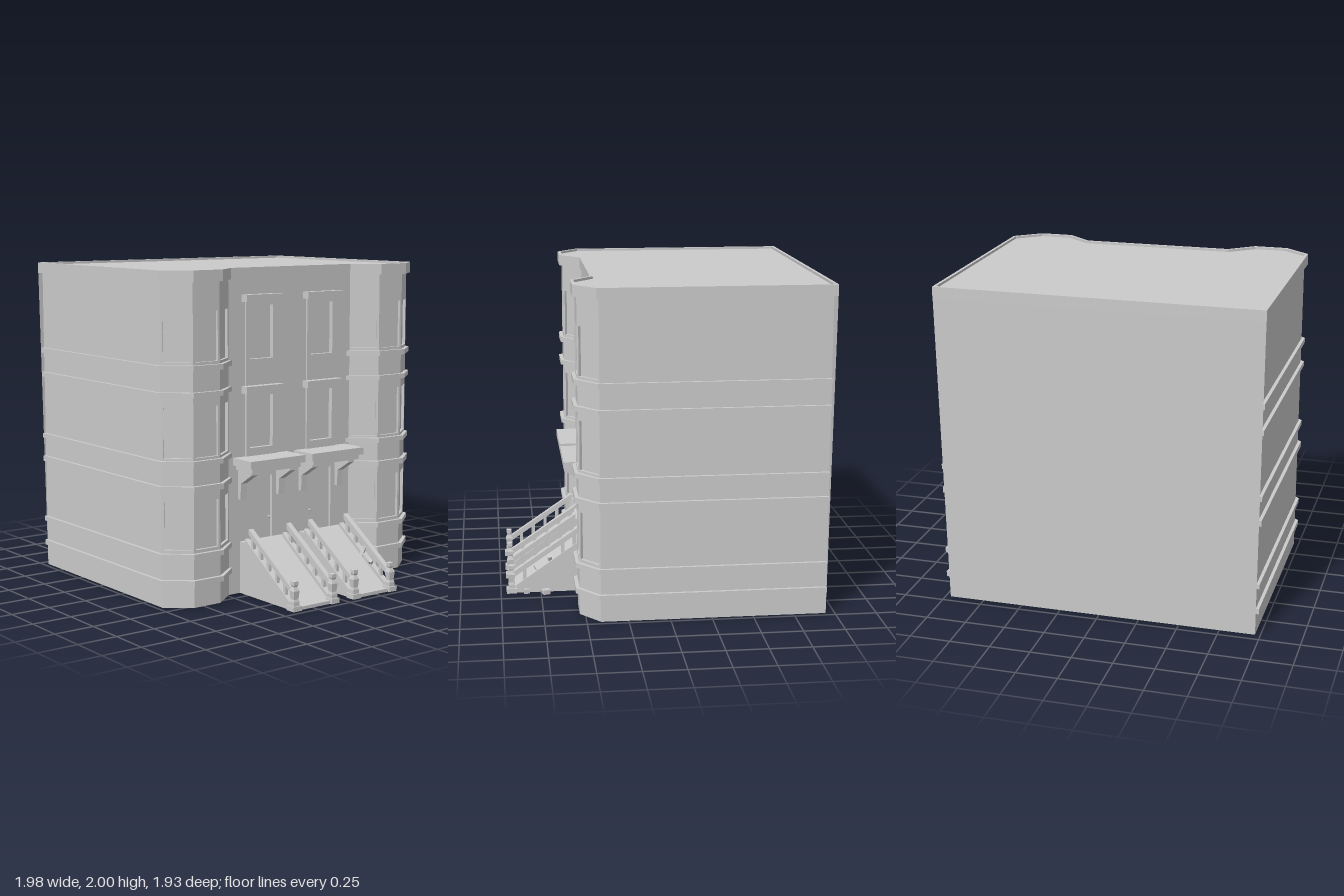
import * as THREE from 'three';

const mat = new THREE.MeshStandardMaterial({ color: 0xcccccc, flatShading: true, side: THREE.DoubleSide });

function add(parent, name, geo, x = 0, y = 0, z = 0) {
  const m = new THREE.Mesh(geo, mat);
  m.name = name;
  m.position.set(x, y, z);
  parent.add(m);
  return m;
}

// box given by its x centre and width plus y and z ranges
function box(parent, name, x, w, y0, y1, z0, z1) {
  return add(parent, name, new THREE.BoxGeometry(w, y1 - y0, z1 - z0), x, (y0 + y1) / 2, (z0 + z1) / 2);
}

function rect(Kind, x0, x1, y0, y1) {
  return new Kind([[x0, y0], [x1, y0], [x1, y1], [x0, y1]].map(p => new THREE.Vector2(...p)));
}

const extrude = (shape, depth) => new THREE.ExtrudeGeometry(shape, { depth, bevelEnabled: false });

// flat or folded face from four corners
function quad(parent, name, ...c) {
  const g = new THREE.BufferGeometry();
  g.setAttribute('position', new THREE.Float32BufferAttribute([0, 1, 2, 0, 2, 3].flatMap(i => c[i]), 3));
  g.computeVertexNormals();
  return add(parent, name, g);
}

// plan outline (x, z pairs) extruded upwards from y0 to y1
function planSlab(parent, name, pts, y0, y1, hole) {
  const s = new THREE.Shape(pts.map(([x, z]) => new THREE.Vector2(x, -z)));
  if (hole) s.holes.push(new THREE.Path(hole.map(([x, z]) => new THREE.Vector2(x, -z))));
  const g = extrude(s, y1 - y0);
  g.rotateX(-Math.PI / 2);
  return add(parent, name, g, 0, y0, 0);
}

// wall between two plan points, with openings [x0, x1, y0, y1] closed by recessed panes
function wall(parent, name, a, b, openings = []) {
  const t = 0.018, w = new THREE.Group();
  w.name = name;
  const s = rect(THREE.Shape, 0, Math.hypot(b[0] - a[0], b[1] - a[1]), 0, 1.95);
  for (const [x0, x1, y0, y1] of openings) {
    s.holes.push(rect(THREE.Path, x0, x1, y0, y1));
    add(w, 'recessedPane', new THREE.PlaneGeometry(x1 - x0, y1 - y0), (x0 + x1) / 2, (y0 + y1) / 2, -t);
  }
  const g = extrude(s, t);
  g.translate(0, 0, -t);
  add(w, 'wallPanel', g);
  w.position.set(a[0], 0, a[1]);
  w.rotation.y = Math.atan2(a[1] - b[1], b[0] - a[0]);
  parent.add(w);
}

const CX = 0.238, FZ = 0.418, BACK = -0.945;
const FLOORS = [[0.35, 0.64], [0.9, 1.2], [1.465, 1.76]];

// half outlines from the back corner round the bay to the middle wall
const BODY = [[0.968, BACK], [0.968, 0.415], [0.82, 0.533], [0.628, 0.533], [0.48, FZ]];
const BAND = [[0.988, BACK], [0.988, 0.425], [0.832, 0.556], [0.618, 0.556], [0.455, FZ]];
const CORNICE = [[0.988, -0.967], [0.988, 0.428], [0.83, 0.557], [0.622, 0.557], [0.47, 0.43]];
const ROOF = [[0.97, -0.948], [0.97, 0.418], [0.823, 0.537], [0.629, 0.537], [0.476, 0.412]];
const mirror = pts => pts.map(([x, z]) => [-x, z]);
const full = pts => [...pts, ...mirror(pts).reverse()];

function buildBody(root) {
  for (const s of [1, -1]) {
    const p = s > 0 ? BODY : mirror(BODY);
    for (let i = 0; i < 4; i++) {
      const [a, b] = s > 0 ? [p[i + 1], p[i]] : [p[i], p[i + 1]];
      const len = Math.hypot(b[0] - a[0], b[1] - a[1]);
      const wins = i ? FLOORS.map(f => [0.014, len - 0.014, ...f]) : [];
      wall(root, i ? 'bayWall' : 'sideWall', a, b, wins);
    }
    // string courses wrapping each side and bay
    const o = s > 0 ? BAND : mirror(BAND);
    for (const [y0, y1] of [[0.137, 0.17], [0.3, 0.33], [0.7, 0.735], [0.855, 0.885], [1.26, 1.29], [1.415, 1.448]])
      planSlab(root, 'stringCourse', [...o, ...[...p].reverse()], y0, y1);
  }
  // middle wall with doors and windows
  const holes = [-CX, CX].flatMap(c => {
    const x = c + 0.48;
    return [[x - 0.092, x + 0.092, 0.32, 0.715], [x - 0.088, x + 0.088, 0.9, 1.22], [x - 0.088, x + 0.088, 1.445, 1.77]];
  });
  wall(root, 'middleWall', [-0.48, FZ], [0.48, FZ], holes);
  quad(root, 'backWall', [0.968, 0, BACK], [-0.968, 0, BACK], [-0.988, 2, -0.967], [0.988, 2, -0.967]);
  // cornice with a shallow lip around the roof
  planSlab(root, 'cornice', full(CORNICE), 1.932, 2, full(ROOF));
  planSlab(root, 'roof', full(ROOF), 1.965, 1.985);
}

// window surrounds, lintels, canopy, brackets and knob of one entrance bay
function buildEntrance(root, s) {
  const g = new THREE.Group();
  g.name = 'entranceBay';
  g.position.x = s * CX;
  for (const [y0, y1, w0, w1] of [[0.85, 1.24, 0.9, 1.22], [1.285, 1.795, 1.445, 1.77]]) {
    const f = rect(THREE.Shape, -0.117, 0.117, y0, y1);
    f.holes.push(rect(THREE.Path, -0.088, 0.088, w0, w1));
    add(g, 'windowSurround', extrude(f, 0.012), 0, 0, FZ);
    box(g, 'lintel', 0, 0.286, y1, y1 + 0.043, FZ, 0.47);
  }
  box(g, 'canopyTop', 0, 0.418, 0.805, 0.85, FZ, 0.6);
  box(g, 'canopyMoulding', 0, 0.37, 0.775, 0.805, FZ, 0.582);
  const profile = new THREE.Shape([[0, 0.59], [0.025, 0.59], [0.03, 0.69], [0.135, 0.755], [0.135, 0.775], [0, 0.775]]
    .map(p => new THREE.Vector2(...p)));
  const bracket = extrude(profile, 0.046);
  bracket.rotateY(-Math.PI / 2);
  for (const x of [-0.148, 0.148]) add(g, 'canopyBracket', bracket, x + 0.023, 0, FZ);
  add(g, 'doorKnob', new THREE.SphereGeometry(0.008, 8, 6), -s * 0.074, 0.45, FZ - 0.008);
  root.add(g);
}

// sloped stoop with newels, handrails and balusters; one railing is damaged
function buildStoop(root, s) {
  const g = new THREE.Group();
  g.name = 'stoop';
  g.position.x = s * (CX - 0.005);
  const W = 0.162, TOP = [0.325, FZ], LOW = [0.02, 0.91];
  const LAND = [0.325, 0.47];
  quad(g, 'stairSlope', [-W, ...LOW], [W, ...LOW], [W, ...LAND], [-W, ...LAND]);
  quad(g, 'landing', [-W, ...LAND], [W, ...LAND], [W, ...TOP], [-W, ...TOP]);
  quad(g, 'stairFoot', [-W, 0, 0.91], [W, 0, 0.91], [W, ...LOW], [-W, ...LOW]);
  box(g, 'bottomStep', 0, 0.25, 0, 0.02, 0.905, 0.95);
  for (const x of [-W, W]) {
    quad(g, 'stairSide', [x, 0, 0.91], [x, 0, FZ], [x, ...LAND], [x, ...LOW]);
    quad(g, 'landingSide', [x, 0, FZ], [x, ...TOP], [x, ...LAND], [x, 0, FZ]);
  }
  const slope = 0.68, railY = z => 0.128 + (0.905 - z) * slope, footY = z => LOW[0] + (0.91 - z) * 0.69;
  // sheared bar running along the slope
  const bar = (name, x, w, z0, z1, h, fn) => {
    const sh = new THREE.Shape([[z0, fn(z0) - h], [z1, fn(z1) - h], [z1, fn(z1)], [z0, fn(z0)]].map(p => new THREE.Vector2(...p)));
    const geo = extrude(sh, w);
    geo.rotateY(-Math.PI / 2);
    add(g, name, geo, x + w / 2, 0, 0);
  };
  for (const side of [-1, 1]) {
    const x = side * 0.147, damaged = s > 0 && side > 0;
    box(g, 'newelBase', x, 0.062, 0, 0.03, 0.9, 0.965);
    // turned square newel
    const newel = new THREE.LatheGeometry([[0, 0], [0.03, 0], [0.03, 0.025], [0.024, 0.04], [0.031, 0.09], [0.02, 0.11],
      [0.018, 0.115], [0.023, 0.125], [0.023, 0.148], [0, 0.152]].map(p => new THREE.Vector2(...p)), 4, Math.PI / 4);
    add(g, 'newelPost', newel, x, 0.03, 0.933);
    bar('handrail', x, 0.034, 0.51, 0.92, 0.036, z => railY(z) + 0.02);
    bar('stringer', x, 0.034, 0.47, 0.91, 0.03, z => footY(z) + 0.026);
    [0.85, 0.77, 0.69, 0.61, 0.535].forEach((z, i) => {
      const y0 = footY(z), y1 = railY(z);
      if (damaged && (i === 1 || i === 2)) {
        const b = box(g, 'brokenBaluster', x - 0.01, 0.02, y0, y0 + 0.055, z - 0.01, z + 0.01);
        b.rotation.set(0.3, 0.4, i === 1 ? 0.7 : -0.4);
      } else box(g, 'baluster', x, 0.02, y0, y1, z - 0.011, z + 0.011);
    });
  }
  root.add(g);
}

export function createModel() {
  const root = new THREE.Group();
  root.name = 'townhouse';
  buildBody(root);
  for (const s of [1, -1]) {
    buildEntrance(root, s);
    buildStoop(root, s);
  }
  // fallen pieces beside the damaged railing
  for (const [x, z, w, d, r] of [[0.432, 0.72, 0.042, 0.045, 0.3], [0.415, 0.84, 0.02, 0.035, 0.2]])
    box(root, 'rubble', x, w, 0, 0.028, z - d / 2, z + d / 2).rotation.y = r;
  return root;
}
